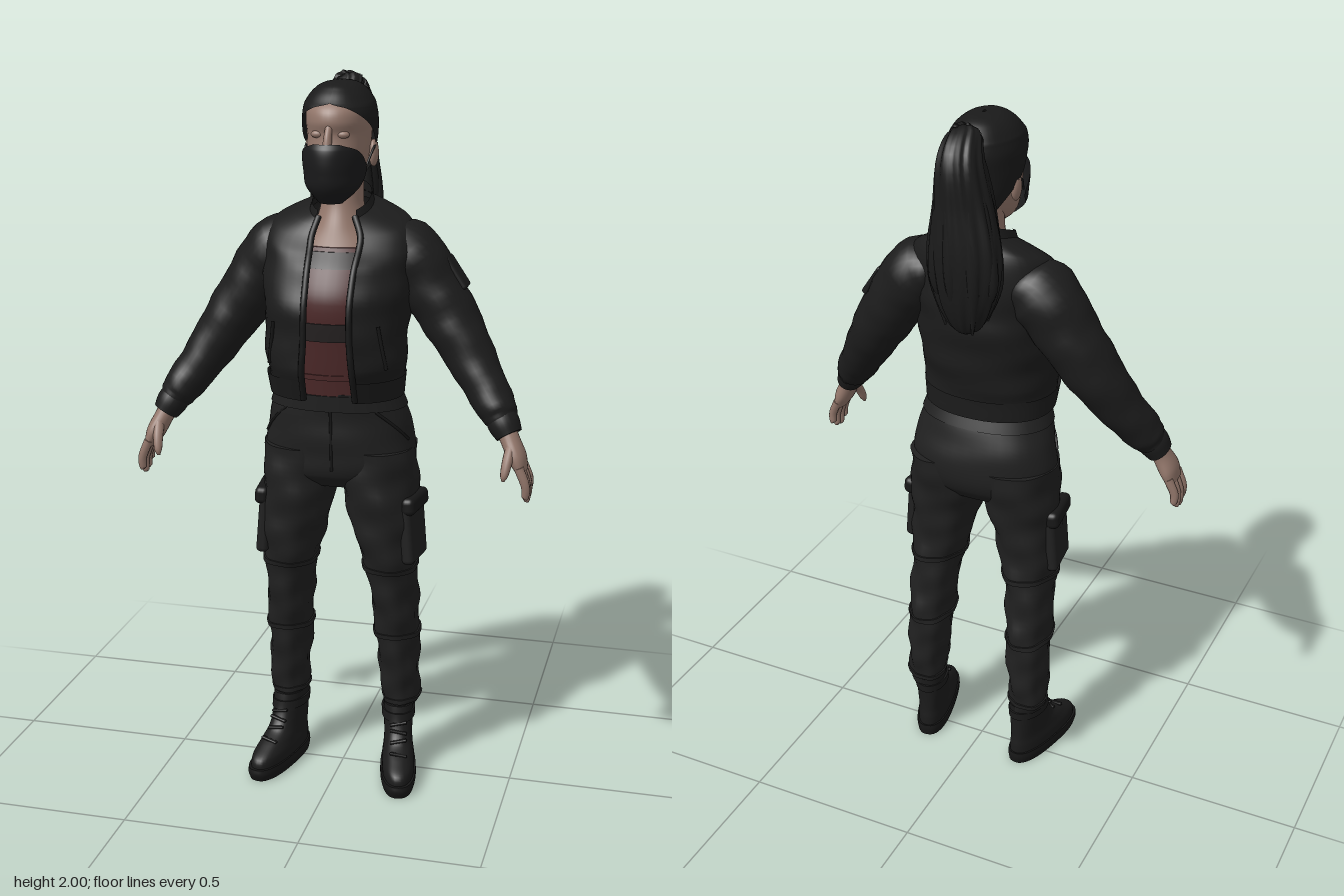
import * as THREE from 'three';
import { RoundedBoxGeometry } from 'three/addons/geometries/RoundedBoxGeometry.js';

const paint = (name, color, side = THREE.FrontSide) => {
  const m = new THREE.MeshStandardMaterial({ color, side });
  m.name = name;
  return m;
};

// Smooth interpolation of table rows, keyed by their first column
function sample(rows, k) {
  let i = 0;
  while (i < rows.length - 2 && k > rows[i + 1][0]) i++;
  const a = rows[i], b = rows[i + 1], h = b[0] - a[0], t = (k - a[0]) / h;
  const p = rows[i - 1] || a, q = rows[i + 2] || b;
  return a.map((v, c) => {
    const ma = (b[c] - p[c]) / (b[0] - p[0]) * h, mb = (q[c] - a[c]) / (q[0] - a[0]) * h;
    const t2 = t * t, t3 = t2 * t;
    return v * (2 * t3 - 3 * t2 + 1) + ma * (t3 - 2 * t2 + t) + b[c] * (3 * t2 - 2 * t3) + mb * (t3 - t2);
  });
}

// Keys to sample: a clipped range, or several steps per row
function keysOf(rows, o) {
  if (o.y0 !== undefined) return Array.from({ length: 9 }, (_, i) => o.y0 + (o.y1 - o.y0) * i / 8);
  const keys = [rows[0][0]];
  for (let i = 1; i < rows.length; i++)
    for (let j = 1; j <= 6; j++) keys.push(rows[i - 1][0] + (rows[i][0] - rows[i - 1][0]) * j / 6);
  return keys;
}

// Joins rings of points into one skin; closed rings get end caps
function skin(name, material, rings, closed) {
  const n = rings[0].length, pos = [], idx = [];
  rings.forEach(r => r.forEach(p => pos.push(p.x, p.y, p.z)));
  for (let i = 0; i < rings.length - 1; i++)
    for (let j = 0; j < (closed ? n : n - 1); j++) {
      const a = i * n + j, b = i * n + (j + 1) % n;
      idx.push(a, b, a + n, b, b + n, a + n);
    }
  if (closed) [rings[0], rings[rings.length - 1]].forEach((r, end) => {
    const c = new THREE.Vector3(), base = pos.length / 3;
    r.forEach(p => { c.addScaledVector(p, 1 / n); pos.push(p.x, p.y, p.z); });
    pos.push(c.x, c.y, c.z);
    for (let j = 0; j < n; j++) {
      const a = base + j, b = base + (j + 1) % n;
      end ? idx.push(a, b, base + n) : idx.push(b, a, base + n);
    }
  });
  const g = new THREE.BufferGeometry();
  g.setAttribute('position', new THREE.Float32BufferAttribute(pos, 3));
  g.setIndex(idx);
  g.computeVertexNormals();
  const mesh = new THREE.Mesh(g, material);
  mesh.name = name;
  return mesh;
}

// Point on a horizontal section: row = [y, centreX, halfWidth, zBack, zFront, gapAngle]
function onSection(row, a, o) {
  const [y, cx, hw, zb, zf] = row, pow = v => Math.sign(v) * Math.abs(v) ** (o.power || 1);
  const d = (o.grow || 0) + (o.fold || 0) * (Math.sin(38 * y + 3 * a) + 0.6 * Math.sin(67 * y - 2 * a + 1) + 0.5 * Math.sin(7 * a));
  const p = new THREE.Vector3(cx + Math.max(0.002, hw + d) * pow(Math.sin(a)), y,
    (zb + zf) / 2 + Math.max(0.002, (zf - zb) / 2 + d) * pow(Math.cos(a)));
  if (o.tilt) p.y += o.tilt * (0.02 - p.z) * THREE.MathUtils.smoothstep(y, 1.5, 1.65);
  return p;
}

function loft(name, material, rows, o = {}) {
  const n = 40, open = rows[0].length > 5;
  const rings = keysOf(rows, o).map(k => {
    const row = sample(rows, k), g = Math.max(0, row[5] || 0);
    const [from, to] = o.front ? [-g, g] : [g, Math.PI * 2 - g];
    return Array.from({ length: open ? n + 1 : n }, (_, j) => onSection(row, from + (to - from) * j / n + (o.turn || 0), o));
  });
  return skin(name, material, rings, !open);
}

// Limb across its path: rows = [x, y, z, radius, depthRadius]
function limb(name, material, path, o = {}) {
  const rows = path.map((r, i) => [i, ...r]), keys = keysOf(rows, o), n = o.sides || 24;
  const rings = keys.map(k => {
    const [, x, y, z, ra, rb] = sample(rows, k), at = t => new THREE.Vector3(...sample(rows, t).slice(1, 4));
    const T = at(Math.min(k + 0.05, rows.length - 1)).sub(at(Math.max(k - 0.05, 0))).normalize();
    const U = T.clone().cross(new THREE.Vector3(0, 0.01, 1)).normalize(), V = U.clone().cross(T);
    return Array.from({ length: n }, (_, j) => {
      const a = j / n * Math.PI * 2;
      const f = 1 + (o.fold || 0) * (Math.sin(6.5 * k + 2 * a) + 0.6 * Math.sin(11 * k - 3 * a)) + (o.flute || 0) * (Math.sin(11 * a + k) + 0.6 * Math.sin(17 * a - k));
      return new THREE.Vector3(x, y, z).addScaledVector(U, ra * f * Math.sin(a)).addScaledVector(V, rb * f * Math.cos(a));
    });
  });
  return skin(name, material, rings, true);
}

function cord(name, material, points, r) {
  const m = new THREE.Mesh(new THREE.TubeGeometry(new THREE.CatmullRomCurve3(points), 40, r, 8), material);
  m.name = name;
  return m;
}

function block(name, material, size, at, rot = [0, 0, 0]) {
  const m = new THREE.Mesh(new RoundedBoxGeometry(...size, 3, Math.min(...size) * 0.4), material);
  m.name = name;
  m.position.set(...at);
  m.rotation.set(...rot);
  return m;
}

function ball(name, material, at, radii) {
  const m = new THREE.Mesh(new THREE.SphereGeometry(1, 20, 14), material);
  m.name = name;
  m.position.set(...at);
  m.scale.set(...radii);
  return m;
}

export function createModel() {
  const model = new THREE.Group(), add = (...parts) => model.add(...parts);
  model.name = 'figure';
  const two = THREE.DoubleSide;
  const skinTone = paint('skin', 0x93776b), hair = paint('hair', 0x1a1a1a, two), jacketCloth = paint('jacketCloth', 0x1c1c1c, two);
  const trim = paint('darkTrim', 0x171717), pantsCloth = paint('pantsCloth', 0x202020), red = paint('redCloth', 0x4e2a2a);
  const leather = paint('bootLeather', 0x1b1b1b), maskCloth = paint('maskCloth', 0x1a1a1b, two), band = paint('greyBand', 0x272323);

  // Head and neck
  add(loft('head', skinTone, [[1.68, 0, 0.028, 0.05, 0.14], [1.7, 0, 0.05, 0, 0.162], [1.74, 0, 0.068, -0.05, 0.168], [1.8, 0, 0.08, -0.075, 0.162],
    [1.855, 0, 0.084, -0.08, 0.152], [1.89, 0, 0.086, -0.08, 0.16], [1.925, 0, 0.082, -0.075, 0.146], [1.965, 0, 0.05, -0.04, 0.09]]));
  add(loft('neck', skinTone, [[1.5, 0, 0.13, -0.08, 0.145], [1.56, 0, 0.115, -0.075, 0.118], [1.61, 0, 0.075, -0.07, 0.098],
    [1.66, 0, 0.058, -0.066, 0.078], [1.71, 0, 0.056, -0.065, 0.068], [1.76, 0, 0.056, -0.065, 0.06]]));
  add(limb('nose', skinTone, [[0, 1.88, 0.15, 0.009, 0.008], [0, 1.85, 0.163, 0.011, 0.014], [0, 1.81, 0.172, 0.015, 0.015]]));
  for (const s of [-1, 1]) {
    add(ball('eyelid', skinTone, [s * 0.034, 1.858, 0.138], [0.018, 0.01, 0.012]));
    add(ball('ear', skinTone, [s * 0.088, 1.8, 0.018], [0.013, 0.036, 0.022]));
    add(cord('maskStrap', maskCloth, [[0.083, 1.775, 0.075], [0.093, 1.815, 0.04], [0.095, 1.825, 0.01]].map(([x, y, z]) => new THREE.Vector3(s * x, y, z)), 0.003));
  }
  add(loft('faceMask', maskCloth, [[1.68, 0, 0.04, 0.03, 0.158, 0.9], [1.72, 0, 0.073, 0, 0.187, 1.4], [1.76, 0, 0.084, -0.05, 0.195, 1.5],
    [1.79, 0, 0.088, -0.06, 0.197, 1.3], [1.82, 0, 0.089, -0.07, 0.194, 0.95], [1.836, 0, 0.087, -0.07, 0.185, 0.4]], { front: true }));

  // Swept-back hair with a long ponytail
  add(loft('hairCap', hair, [[1.73, 0, 0.065, -0.075, 0.1, 2.4], [1.78, 0, 0.088, -0.09, 0.13, 2], [1.83, 0, 0.096, -0.096, 0.16, 1.6], [1.87, 0, 0.099, -0.098, 0.165, 1.3],
    [1.9, 0, 0.099, -0.098, 0.165, 0.95], [1.925, 0, 0.094, -0.094, 0.157, 0.5], [1.937, 0, 0.09, -0.09, 0.144, 0],
    [1.965, 0, 0.07, -0.07, 0.115, 0], [1.983, 0, 0.042, -0.04, 0.08, 0], [1.99, 0, 0.004, 0.005, 0.02, 0]], { fold: 0.001 }));
  add(limb('hairTie', trim, [[-0.008, 1.93, -0.07, 0.032, 0.032], [-0.01, 1.96, -0.105, 0.03, 0.03]]));
  add(limb('ponytail', hair, [[-0.01, 1.94, -0.085, 0.025, 0.025], [-0.013, 1.968, -0.125, 0.045, 0.033], [-0.02, 1.915, -0.165, 0.062, 0.06],
    [-0.03, 1.8, -0.168, 0.08, 0.066], [-0.036, 1.68, -0.178, 0.098, 0.06], [-0.036, 1.57, -0.178, 0.085, 0.05], [-0.035, 1.49, -0.168, 0.05, 0.035], [-0.035, 1.46, -0.16, 0.015, 0.015]],
  { sides: 72, flute: 0.035 }));
  for (let i = 0; i < 9; i++) {
    const a = i / 9 * Math.PI * 2, c = Math.cos(a), d = Math.sin(a);
    add(limb('hairLock', hair, [[-0.02 + 0.04 * c, 1.92, -0.165 + 0.04 * d, 0.012, 0.012], [-0.03 + 0.068 * c, 1.78, -0.17 + 0.053 * d, 0.018, 0.014],
      [-0.036 + 0.088 * c, 1.62, -0.178 + 0.048 * d, 0.018, 0.014], [-0.036 + 0.06 * c, 1.47 + 0.03 * (i % 3), -0.17 + 0.03 * d, 0.003, 0.003]], { sides: 10 }));
  }

  // Red top with darker bands
  const top = [[1.14, 0, 0.162, -0.055, 0.165], [1.3, 0, 0.165, -0.08, 0.192], [1.42, 0, 0.17, -0.1, 0.205], [1.5, 0, 0.16, -0.1, 0.172], [1.56, 0, 0.135, -0.09, 0.125]];
  add(loft('redTop', red, top));
  add(loft('waistBand', band, top, { y0: 1.32, y1: 1.37, grow: 0.004 }), loft('neckBand', band, top, { y0: 1.51, y1: 1.55, grow: 0.004 }));
  add(loft('topSeam', red, top, { y0: 1.21, y1: 1.225, grow: 0.004 }));

  // Open bomber jacket
  const jacket = [[1.16, 0, 0.18, -0.08, 0.2, 0.36], [1.215, 0, 0.186, -0.083, 0.222, 0.34], [1.25, 0, 0.192, -0.09, 0.235, 0.32], [1.32, 0, 0.193, -0.105, 0.238, 0.29],
    [1.42, 0, 0.2, -0.12, 0.235, 0.27], [1.5, 0, 0.205, -0.12, 0.2, 0.27], [1.57, 0, 0.208, -0.115, 0.16, 0.28],
    [1.615, 0, 0.19, -0.1, 0.128, 0.32], [1.643, 0, 0.13, -0.085, 0.113, 0.42], [1.66, 0, 0.08, -0.072, 0.1, 0.62]];
  const cut = { power: 0.9, turn: 0.06, tilt: 0.35 };
  add(loft('jacketBody', jacketCloth, jacket, { ...cut, fold: 0.0025 }));
  add(loft('jacketHem', jacketCloth, jacket, { ...cut, y0: 1.155, y1: 1.215, grow: 0.005 }));
  add(loft('collar', jacketCloth, [[1.63, 0, 0.092, -0.083, 0.112, 0.62], [1.655, 0, 0.082, -0.077, 0.104, 0.64], [1.68, 0, 0.074, -0.073, 0.098, 0.68]], { ...cut, tilt: 0.4, grow: 0.004 }));
  for (const s of [-1, 1]) {
    const edge = Array.from({ length: 14 }, (_, i) => {
      const row = sample(jacket, 1.16 + i / 13 * 0.5);
      return onSection(row, s * row[5] + cut.turn, cut);
    });
    add(cord('zipEdge', trim, edge, 0.009));
    add(cord('jacketPocket', trim, [1.25, 1.29, 1.33, 1.37].map((y, i) => onSection(sample(jacket, y), s * (0.95 - i * 0.06), { ...cut, grow: 0.002 })), 0.005));

    // Sleeve and ribbed cuff
    const side = rows => rows.map(([x, ...r]) => [s * x, ...r]);
    add(limb('sleeve', jacketCloth, side([[0.12, 1.56, -0.005, 0.06, 0.085], [0.18, 1.53, -0.008, 0.092, 0.1], [0.25, 1.435, -0.005, 0.085, 0.092], [0.32, 1.33, 0.01, 0.076, 0.085],
      [0.39, 1.22, 0.045, 0.062, 0.068], [0.445, 1.14, 0.083, 0.053, 0.06], [0.465, 1.11, 0.097, 0.042, 0.048]]), { fold: 0.02, sides: 32 }));
    add(limb('cuff', jacketCloth, side([[0.455, 1.125, 0.092, 0.042, 0.046], [0.47, 1.1, 0.102, 0.043, 0.047], [0.485, 1.075, 0.11, 0.036, 0.042]])));

    // Hand
    add(limb('palm', skinTone, side([[0.475, 1.09, 0.105, 0.027, 0.03], [0.49, 1.06, 0.115, 0.026, 0.034], [0.51, 1.02, 0.124, 0.025, 0.045], [0.524, 0.985, 0.126, 0.016, 0.042]])));
    for (let f = 0; f < 4; f++) {
      const z = 0.092 + f * 0.023, l = [0.06, 0.078, 0.084, 0.07][f];
      add(limb('finger', skinTone, side([[0.52, 1, z, 0.013, 0.012], [0.539, 0.985 - l * 0.45, z + 0.002, 0.012, 0.011], [0.54, 0.985 - l * 0.9, z, 0.01, 0.009], [0.538, 0.985 - l, z, 0.004, 0.004]]), { sides: 10 }));
    }
    add(limb('thumb', skinTone, side([[0.495, 1.055, 0.135, 0.014, 0.016], [0.49, 1.02, 0.165, 0.014, 0.014], [0.485, 0.985, 0.182, 0.011, 0.011], [0.482, 0.968, 0.186, 0.004, 0.004]]), { sides: 12 }));

    // Trouser leg with seams
    const leg = [[0.19, 0.165, 0.046, -0.085, 0.03], [0.225, 0.168, 0.053, -0.093, 0.038], [0.3, 0.165, 0.056, -0.1, 0.052], [0.4, 0.16, 0.06, -0.1, 0.068], [0.5, 0.157, 0.064, -0.092, 0.088],
      [0.6, 0.15, 0.068, -0.08, 0.106], [0.7, 0.14, 0.083, -0.072, 0.128], [0.8, 0.127, 0.098, -0.077, 0.142], [0.9, 0.113, 0.107, -0.095, 0.15], [1, 0.108, 0.104, -0.11, 0.152]];
    const own = leg.map(([y, x, ...r]) => [y, s * x, ...r]);
    add(loft('trouserLeg', pantsCloth, own, { fold: 0.0032, power: 0.95 }));
    for (const y of [0.215, 0.43, 0.64]) add(loft('legSeam', pantsCloth, own, { y0: y, y1: y + 0.014, grow: 0.0045, fold: 0.0032, power: 0.95 }));
    add(block('cargoPocket', pantsCloth, [0.035, 0.18, 0.135], [s * 0.212, 0.765, 0.045], [0, s * -0.12, s * 0.08]));
    add(block('pocketFlap', trim, [0.04, 0.05, 0.142], [s * 0.217, 0.845, 0.045], [0, s * -0.12, s * 0.08]));

    // Laced boot, toes turned out
    const boot = new THREE.Group();
    boot.name = 'boot';
    boot.position.x = s * 0.167;
    boot.rotation.y = s * 0.22;
    const shoe = [[0.025, 0, 0.047, -0.088, 0.2], [0.06, 0, 0.047, -0.088, 0.192], [0.085, 0, 0.043, -0.085, 0.145], [0.11, 0, 0.041, -0.084, 0.09], [0.15, 0, 0.042, -0.085, 0.06], [0.21, 0, 0.044, -0.088, 0.045]];
    boot.add(loft('bootUpper', leather, shoe, { power: 0.85 }));
    boot.add(loft('bootSole', trim, [[0, 0, 0.048, -0.09, 0.202], [0.02, 0, 0.052, -0.093, 0.21], [0.036, 0, 0.051, -0.092, 0.208]], { power: 0.8 }));
    boot.add(loft('bootCollar', leather, shoe, { y0: 0.165, y1: 0.19, grow: 0.006 }));
    for (let i = 0; i < 4; i++) {
      const y = 0.095 + i * 0.022;
      boot.add(block('lace', trim, [0.05, 0.008, 0.012], [0, y, sample(shoe, y)[4]], [0, 0, i % 2 ? 0.2 : -0.2]));
    }
    add(boot);
  }
  add(block('sleevePocket', jacketCloth, [0.02, 0.1, 0.07], [0.312, 1.485, -0.01], [0, 0, 0.59]));

  // Trouser hips, belt and fly
  const hips = [[0.89, 0, 0.17, -0.07, 0.11], [0.93, 0, 0.205, -0.1, 0.148], [1, 0, 0.211, -0.115, 0.158], [1.08, 0, 0.198, -0.098, 0.162], [1.17, 0, 0.17, -0.062, 0.168]];
  add(loft('hips', pantsCloth, hips, { power: 0.92, fold: 0.0015 }));
  add(loft('waistband', pantsCloth, hips, { y0: 1.12, y1: 1.165, grow: 0.005, power: 0.92 }));
  add(cord('flySeam', trim, [0.95, 1, 1.06, 1.12].map(y => onSection(sample(hips, y), 0.02, { power: 0.92 })), 0.004));
  for (const s of [-1, 1])
    add(cord('hipPocketSeam', trim, [1.03, 1.06, 1.09, 1.12].map((y, i) => onSection(sample(hips, y), s * (1.3 - i * 0.2), { power: 0.92 })), 0.004));
  return model;
}
